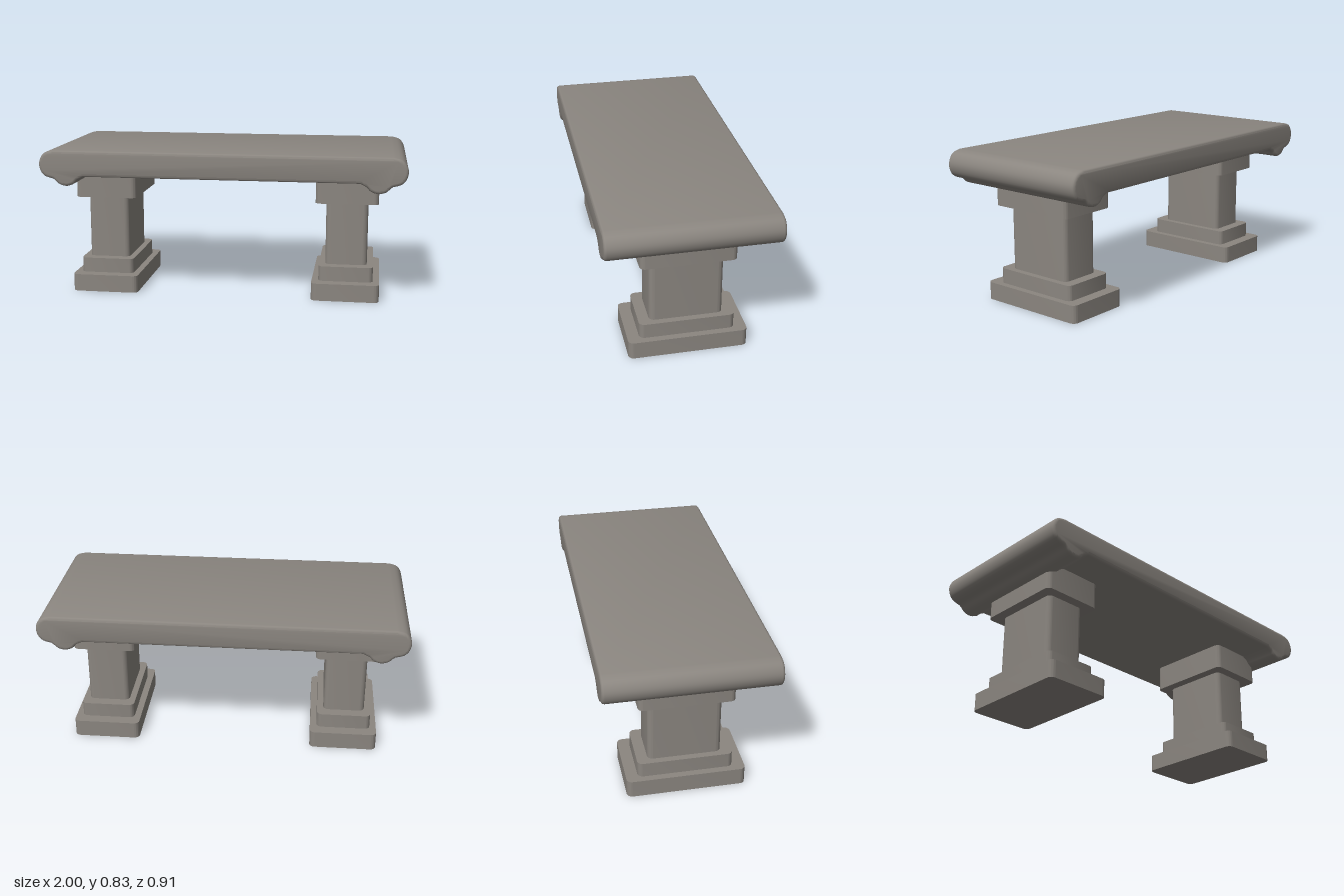
import * as THREE from 'three';
import { toCreasedNormals } from 'three/addons/utils/BufferGeometryUtils.js';

const stone = new THREE.MeshStandardMaterial({ color: 0x8b8680 });
stone.name = 'stone';

function part(name, geometry) {
  const mesh = new THREE.Mesh(toCreasedNormals(geometry, 0.7), stone);
  mesh.name = name;
  return mesh;
}

// Upright block with rounded vertical corners, from y0 to y1
function roundedBlock(name, w, d, y0, y1, r) {
  const x = w / 2, z = d / 2;
  const s = new THREE.Shape();
  s.absarc(x - r, z - r, r, 0, Math.PI / 2);
  s.absarc(-x + r, z - r, r, Math.PI / 2, Math.PI);
  s.absarc(-x + r, -z + r, r, Math.PI, Math.PI * 1.5);
  s.absarc(x - r, -z + r, r, Math.PI * 1.5, Math.PI * 2);
  s.closePath();
  const g = new THREE.ExtrudeGeometry(s, { depth: y1 - y0, bevelEnabled: false, curveSegments: 6 });
  g.rotateX(-Math.PI / 2);
  g.translate(0, y0, 0);
  return part(name, g);
}

// Seat slab: rolled ends with a small lobe under each end
function seatSlab() {
  const end = [
    ...new THREE.SplineCurve([
      [0.92, 0.827], [0.965, 0.815], [0.99, 0.787], [1, 0.75], [0.99, 0.71], [0.965, 0.683], [0.92, 0.67],
    ].map(p => new THREE.Vector2(...p))).getPoints(18),
    ...new THREE.SplineCurve([
      [0.908, 0.66], [0.885, 0.64], [0.845, 0.631], [0.805, 0.645], [0.785, 0.666], [0.75, 0.684],
    ].map(p => new THREE.Vector2(...p))).getPoints(16),
  ];
  const mirrored = end.map(p => new THREE.Vector2(-p.x, p.y)).reverse();
  const b = 0.016, halfDepth = 0.454;
  const g = new THREE.ExtrudeGeometry(new THREE.Shape([...end, ...mirrored]), {
    depth: 2 * (halfDepth - b), bevelEnabled: true, bevelThickness: b,
    bevelSize: b, bevelOffset: -b, bevelSegments: 3,
  });
  g.translate(0, 0, -(halfDepth - b));
  return part('seat', g);
}

function pedestal(name, x) {
  const leg = new THREE.Group();
  leg.name = name;
  leg.add(
    roundedBlock('plinth', 0.375, 0.64, 0, 0.097, 0.03),
    roundedBlock('step', 0.302, 0.512, 0.097, 0.18, 0.03),
    roundedBlock('shaft', 0.232, 0.394, 0.18, 0.535, 0.03),
    roundedBlock('capital', 0.346, 0.508, 0.535, 0.7, 0.03),
  );
  leg.position.x = x;
  return leg;
}

export function createModel() {
  const bench = new THREE.Group();
  bench.name = 'stoneBench';
  bench.add(seatSlab(), pedestal('leftPedestal', 0.68), pedestal('rightPedestal', -0.68));
  return bench;
}
